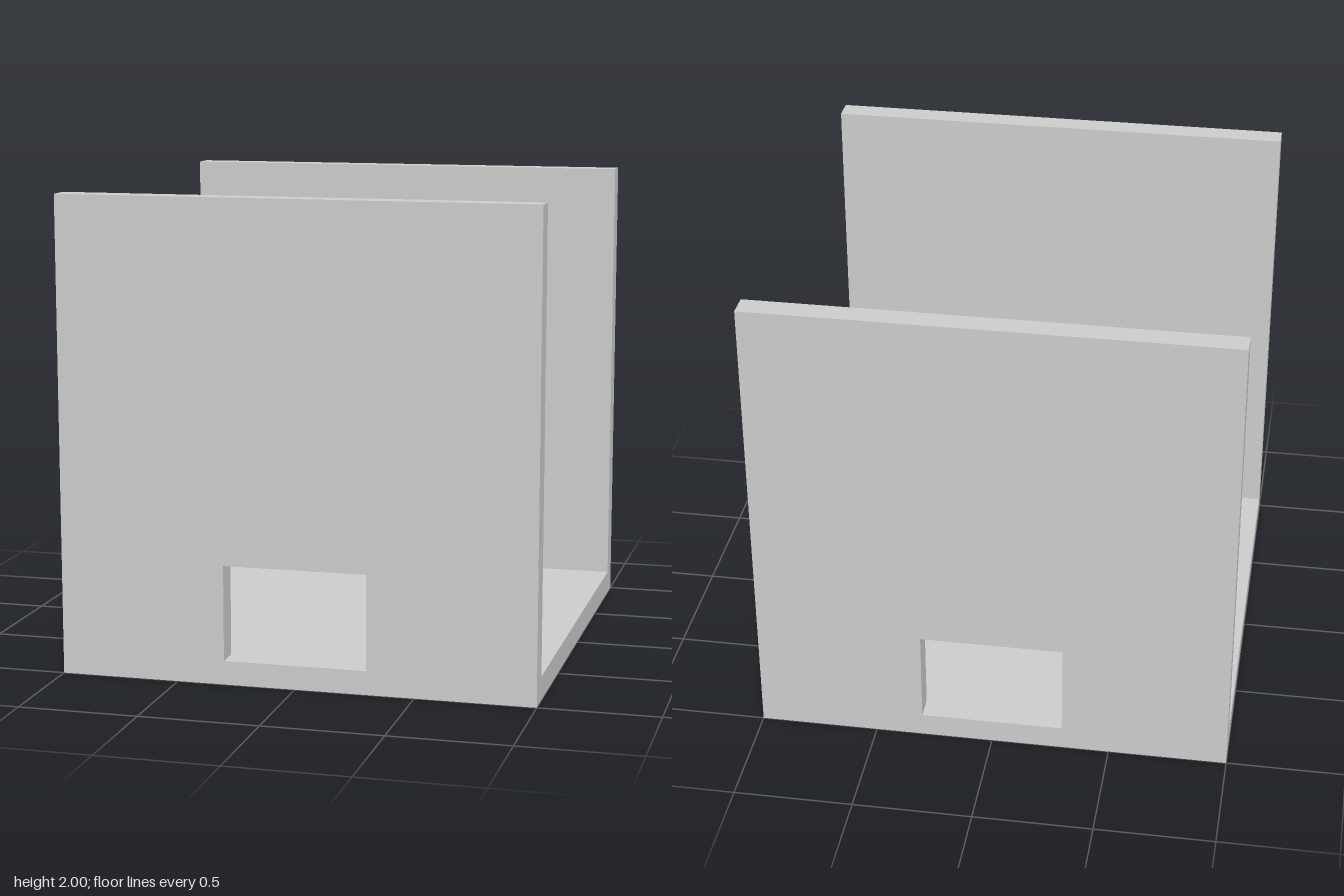
import * as THREE from 'three';

const SIZE = 2, THICK = 0.1;
const OPENING_HALF = 0.3, OPENING_TOP = 0.5;

// Wall outline standing on the floor slab, with a doorway notched into its lower edge
function wallGeometry() {
  const h = SIZE / 2;
  const outline = [
    [-h, THICK], [-OPENING_HALF, THICK], [-OPENING_HALF, OPENING_TOP],
    [OPENING_HALF, OPENING_TOP], [OPENING_HALF, THICK], [h, THICK],
    [h, SIZE], [-h, SIZE],
  ].map(([x, y]) => new THREE.Vector2(x, y));
  return new THREE.ExtrudeGeometry(new THREE.Shape(outline), { depth: THICK, bevelEnabled: false });
}

export function createModel() {
  const group = new THREE.Group();
  group.name = 'openChannelBox';
  const material = new THREE.MeshStandardMaterial({ color: 0xcccccc });

  const add = (name, geometry, y, z) => {
    const mesh = new THREE.Mesh(geometry, material);
    mesh.name = name;
    mesh.position.set(0, y, z);
    group.add(mesh);
  };

  // Floor slab, running under both walls and forming the doorway sills
  add('floor', new THREE.BoxGeometry(SIZE, THICK, SIZE), THICK / 2, 0);

  // Matching front and back walls
  const wall = wallGeometry();
  add('frontWall', wall, 0, SIZE / 2 - THICK);
  add('backWall', wall, 0, -SIZE / 2);

  return group;
}
